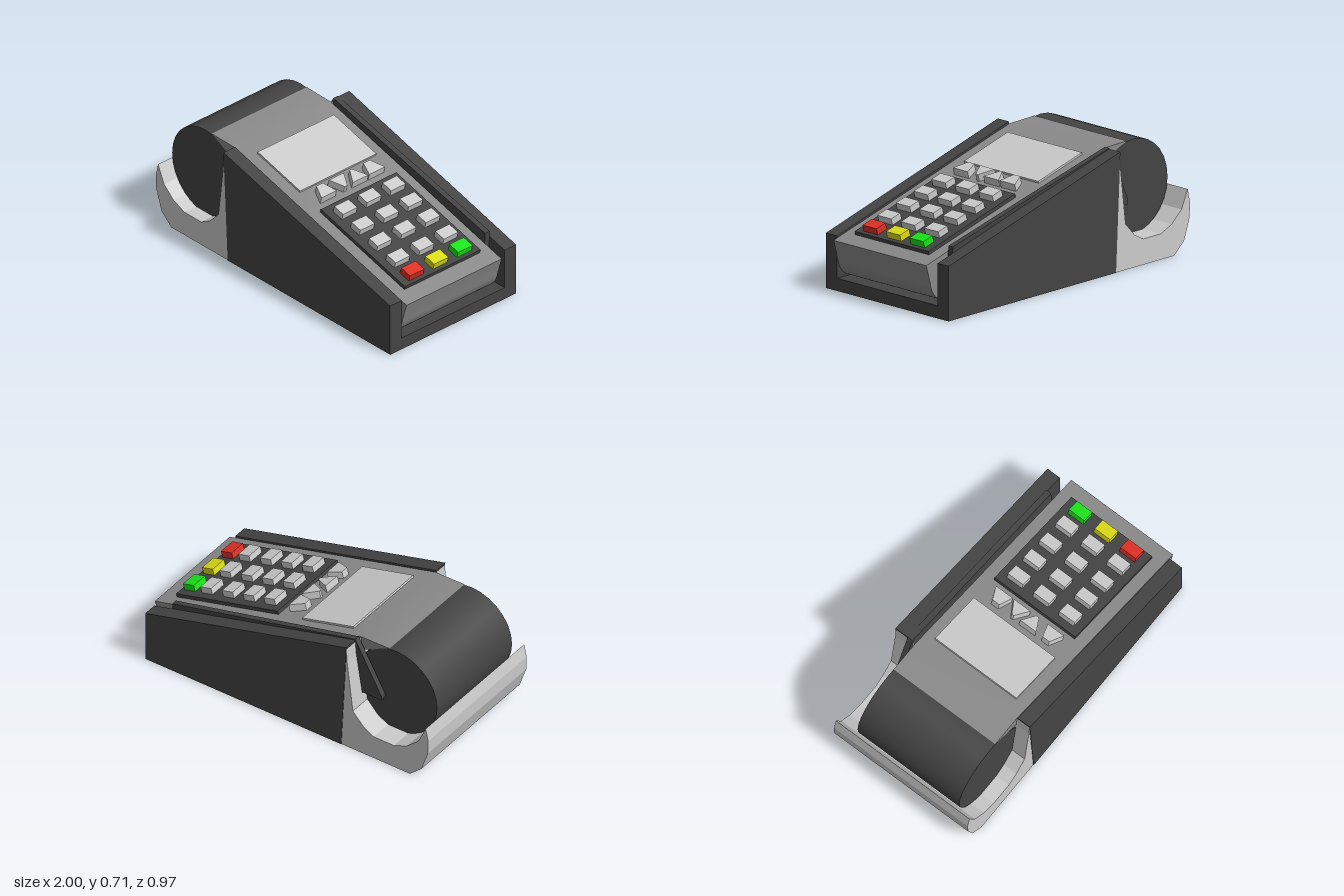
import * as THREE from 'three';
import { toCreasedNormals } from 'three/addons/utils/BufferGeometryUtils.js';

const material = (color) => new THREE.MeshStandardMaterial({ color });
const dark = material(0x444444);
const grey = material(0x8a8a8a);
const light = material(0xcccccc);
const red = material(0xe03025);
const yellow = material(0xdcdc14);
const green = material(0x19e619);

const SLOPE = 0.271;
const TILT = Math.atan(SLOPE);
const TOP_X = -0.43;

function add(parent, name, geometry, mat, x = 0, y = 0, z = 0) {
  const mesh = new THREE.Mesh(geometry, mat);
  mesh.name = name;
  mesh.position.set(x, y, z);
  parent.add(mesh);
  return mesh;
}

const polygon = (points) => new THREE.Shape(points.map(([x, y]) => new THREE.Vector2(x, y)));

// Extrudes an x/y side profile from z0 to z1
function slab(shape, z0, z1) {
  const g = new THREE.ExtrudeGeometry(shape, { depth: z1 - z0, bevelEnabled: false, curveSegments: 16 });
  return g.translate(0, 0, z0);
}

export function createModel() {
  const model = new THREE.Group();
  model.name = 'paymentTerminal';

  // Housing: two sloping side walls joined by a floor
  const wall = polygon([[-0.395, 0], [0.965, 0], [0.965, 0.325], [TOP_X, 0.705]]);
  add(model, 'frontWall', slab(wall, 0.395, 0.483), dark);
  add(model, 'rearWall', slab(wall, -0.483, -0.395), dark);
  const floor = polygon([[-0.395, 0], [0.965, 0], [0.965, 0.075], [-0.4, 0.075]]);
  add(model, 'housingFloor', slab(floor, -0.395, 0.395), dark);

  // Cradle with a faceted trough for the paper roll
  const cradle = polygon([
    [-0.395, 0], [TOP_X, 0.69], [-0.435, 0.6], [-0.475, 0.27], [-0.55, 0.19], [-0.62, 0.152],
    [-0.76, 0.152], [-0.85, 0.19], [-0.93, 0.26], [-0.98, 0.37], [-0.998, 0.29], [-0.995, 0.2],
    [-0.95, 0.07], [-0.87, 0],
  ]);
  add(model, 'rollCradle', slab(cradle, -0.48, 0.48), light);

  // Body with a sloping deck and an undercut nose
  const body = new THREE.Shape();
  body.moveTo(-0.63, 0.699);
  body.lineTo(-0.43, 0.6);
  body.lineTo(-0.4, 0.08);
  body.lineTo(0.87, 0.08);
  body.quadraticCurveTo(0.95, 0.1, 0.968, 0.2);
  body.lineTo(1, 0.307);
  body.lineTo(TOP_X, 0.695);
  body.closePath();
  add(model, 'body', toCreasedNormals(slab(body, -0.34, 0.39), 0.5), grey);

  const roll = new THREE.CylinderGeometry(0.28, 0.28, 0.73, 28).rotateX(Math.PI / 2);
  add(model, 'paperRollCover', roll, dark, -0.68, 0.42, 0.025);

  // Card rail: leans over its height, its rear end swept towards the body
  const railShape = polygon([
    [-0.48, 0.34], [0.84, 0.11], [0.84, 0.395], [TOP_X, 0.71], [-0.6, 0.37], [-0.6, 0.34],
  ]);
  const rail = slab(railShape, -0.395, -0.36);
  const p = rail.attributes.position;
  for (let i = 0; i < p.count; i++) {
    const x = p.getX(i), y = p.getY(i);
    const lean = x > 0 && y < 0.2 ? 0.015 : x < -0.45 ? 0.016 : 0;
    p.setZ(i, p.getZ(i) + lean);
  }
  rail.computeVertexNormals();
  add(model, 'cardRail', rail, dark);

  // Everything on the deck lies in this tilted frame
  const deck = new THREE.Group();
  deck.name = 'deck';
  deck.position.set(TOP_X, 0.695, 0);
  deck.rotation.z = -TILT;
  model.add(deck);
  const along = (x) => (x - TOP_X) / Math.cos(TILT);

  function plate(name, mat, x0, x1, z0, z1, y0, y1) {
    const g = new THREE.BoxGeometry(along(x1) - along(x0), y1 - y0, z1 - z0);
    add(deck, name, g, mat, along((x0 + x1) / 2), (y0 + y1) / 2, (z0 + z1) / 2);
  }
  plate('display', light, -0.335, 0.02, -0.275, 0.31, -0.01, 0.012);
  plate('keypadBase', dark, 0.195, 0.9, -0.265, 0.315, -0.01, 0.022);

  // Keys in three rows, the last column coloured
  const columns = [0.28, 0.425, 0.57, 0.72, 0.84];
  const lastColors = [green, yellow, red];
  [-0.16, 0.025, 0.21].forEach((z, row) => {
    columns.forEach((x, col) => {
      const last = col === columns.length - 1;
      plate(last ? 'commandKey' : 'numberKey', last ? lastColors[row] : light,
        x - 0.037, x + 0.037, z - 0.055, z + 0.055, 0.01, 0.062);
    });
  });

  // Menu keys: wedge-shaped outer pair and two opposed arrows
  const menuKeys = [
    [[0.06, -0.18], [0.145, -0.22], [0.145, -0.1], [0.06, -0.13]],
    [[0.06, -0.04], [0.145, -0.092], [0.145, 0.028], [0.06, -0.025]],
    [[0.06, 0.02], [0.145, 0.07], [0.145, 0.09], [0.06, 0.135]],
    [[0.06, 0.18], [0.145, 0.152], [0.145, 0.268], [0.06, 0.23]],
  ];
  for (const corners of menuKeys) {
    const shape = polygon(corners.map(([x, z]) => [along(x), -z]));
    const g = new THREE.ExtrudeGeometry(shape, { depth: 0.05, bevelEnabled: false }).rotateX(-Math.PI / 2);
    add(deck, 'menuKey', g, light, 0, -0.005, 0);
  }

  return model;
}
